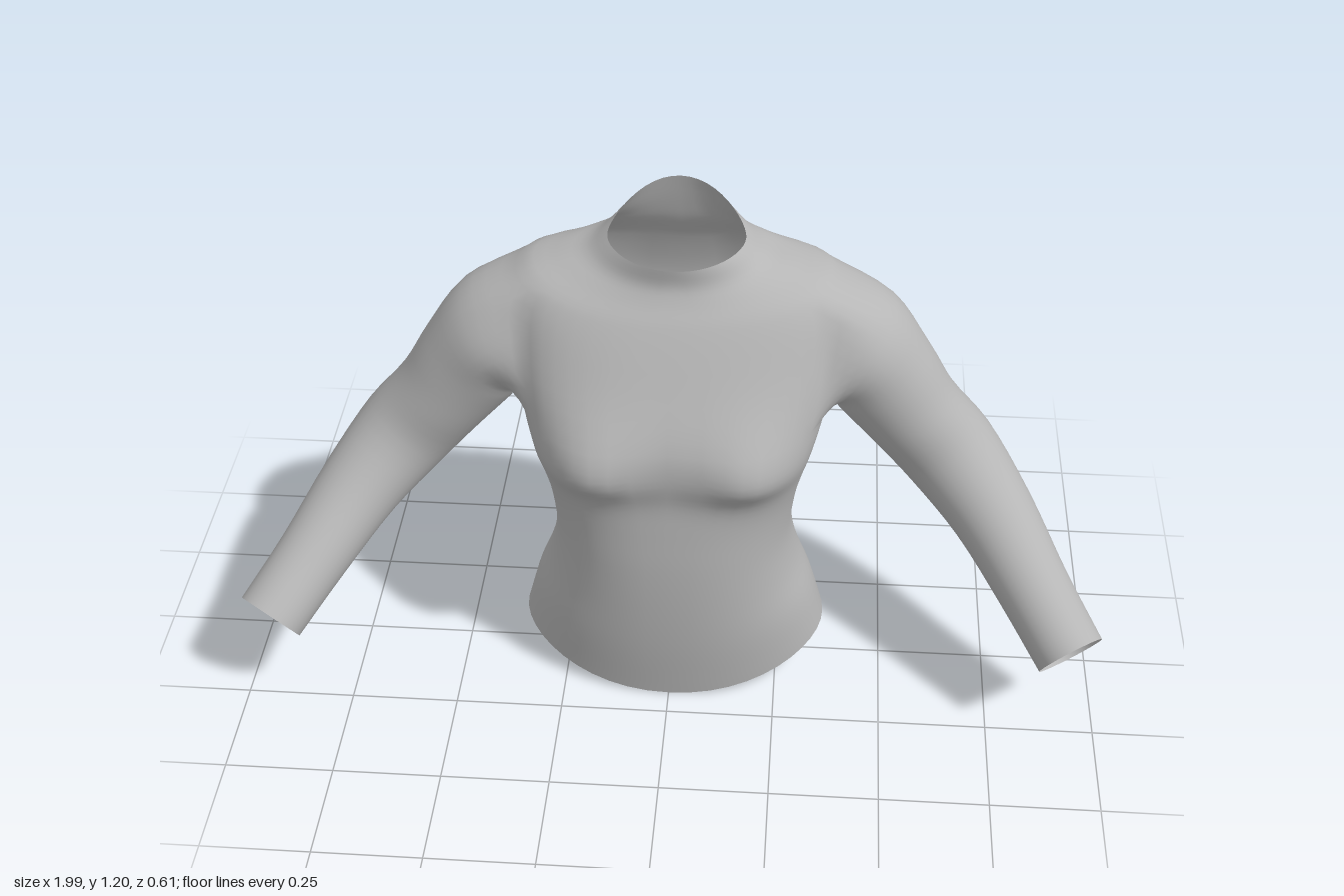
import * as THREE from 'three';
import { mergeVertices } from 'three/addons/utils/BufferGeometryUtils.js';

const COLS = 24; // columns across one half of the body, back centre to front centre
const STEP = 4; // rows between two control rings
const HOLE = { c0: 8, c1: 16, r0: 7 * STEP, r1: 9 * STEP }; // armhole patch

// Body rings: y at side, front, back; half width; z at front, back, middle; squareness
const BODY = [
  [0.088, 0.0, 0.088, 0.36, 0.185, -0.3, -0.04, 2.1],
  [0.2, 0.15, 0.2, 0.33, 0.205, -0.27, -0.03, 2.2],
  [0.3, 0.28, 0.3, 0.293, 0.215, -0.245, -0.02, 2.3],
  [0.4, 0.4, 0.4, 0.275, 0.218, -0.228, -0.01, 2.4],
  [0.5, 0.5, 0.5, 0.283, 0.215, -0.224, -0.01, 2.5],
  [0.58, 0.58, 0.58, 0.3, 0.213, -0.236, -0.01, 2.7],
  [0.66, 0.65, 0.65, 0.322, 0.22, -0.254, -0.02, 2.9],
  [0.735, 0.73, 0.73, 0.345, 0.213, -0.276, -0.05, 2.7],
  [0.88, 0.86, 0.87, 0.37, 0.152, -0.3, -0.075, 2.6],
  [1.025, 0.975, 1.0, 0.36, 0.09, -0.268, -0.095, 2.4],
  [1.06, 1.02, 1.07, 0.27, 0.06, -0.232, -0.095, 2.2],
  [1.08, 1.055, 1.12, 0.2, 0.045, -0.217, -0.09, 2.1],
  [1.115, 1.1, 1.195, 0.152, 0.048, -0.2, -0.08, 2],
];

// Sleeve rings: centre x, y, z; radius upward; radius along z
const SLEEVE = [
  [0.42, 0.835, -0.09, 0.14, 0.145],
  [0.475, 0.76, -0.087, 0.125, 0.125],
  [0.545, 0.665, -0.087, 0.113, 0.115],
  [0.635, 0.56, -0.083, 0.112, 0.113],
  [0.74, 0.447, 0.0, 0.097, 0.1],
  [0.84, 0.33, 0.13, 0.084, 0.087],
  [0.925, 0.235, 0.245, 0.08, 0.082],
];

const bell = (d, w) => Math.exp(-(d * d) / (w * w));

function bodyPoint([yS, yF, yB, hw, zF, zB, zM, n], col) {
  const a = Math.PI * (col / COLS - 0.5);
  const s = Math.sin(a);
  const c = col === 0 || col === COLS ? 0 : Math.cos(a);
  const depth = Math.pow(Math.abs(s), 2 / n);
  const y = yS + ((s > 0 ? yF : yB) - yS) * s * s;
  const z = zM + ((s > 0 ? zF : zB) - zM) * depth;
  return new THREE.Vector3(hw * Math.pow(c, 2 / n), y, z);
}

// Bust on the front, spine groove on the back
function sculpt(p, col) {
  if (col > COLS / 2) {
    p.z += 0.04 * bell(p.x - 0.18, 0.1) * bell(p.y - 0.665, p.y < 0.665 ? 0.065 : 0.11);
  } else {
    p.z += 0.02 * bell(p.x, 0.05) * bell(p.y - 0.68, 0.3);
  }
  return p;
}

// Points across a loft: one smooth curve through each column of control points
function loft(columns, rows) {
  return columns.map((pts, i) => {
    const curve = new THREE.CatmullRomCurve3(pts);
    return Array.from({ length: rows + 1 }, (_, r) => curve.getPoint(r / rows));
  });
}

function createHalf() {
  const tris = [];
  const quad = (a, b, c, d) => tris.push(a, d, c, a, c, b);

  // Body side with the armhole left open
  const rows = (BODY.length - 1) * STEP;
  const cols = Array.from({ length: COLS + 1 }, (_, i) => BODY.map((ring) => bodyPoint(ring, i)));
  const body = loft(cols, rows);
  body.forEach((column, i) => column.forEach((p) => sculpt(p, i)));
  for (let i = 0; i < COLS; i++) {
    for (let r = 0; r < rows; r++) {
      const open = i >= HOLE.c0 && i < HOLE.c1 && r >= HOLE.r0 && r < HOLE.r1;
      if (!open) quad(body[i][r], body[i + 1][r], body[i + 1][r + 1], body[i][r + 1]);
    }
  }

  // Armhole edge, walked once around
  const edge = [];
  for (let i = HOLE.c0; i < HOLE.c1; i++) edge.push(body[i][HOLE.r0]);
  for (let r = HOLE.r0; r < HOLE.r1; r++) edge.push(body[HOLE.c1][r]);
  for (let i = HOLE.c1; i > HOLE.c0; i--) edge.push(body[i][HOLE.r1]);
  for (let r = HOLE.r1; r > HOLE.r0; r--) edge.push(body[HOLE.c0][r]);

  // Sleeve grown from the armhole edge to the cuff
  const centres = SLEEVE.map(([x, y, z]) => new THREE.Vector3(x, y, z));
  const path = new THREE.CatmullRomCurve3([new THREE.Vector3(0.33, 0.84, -0.09), ...centres]);
  const frames = centres.map((_, k) => {
    const t = path.getTangent((k + 1) / SLEEVE.length);
    const side = new THREE.Vector3(0, 0, 1).addScaledVector(t, -t.z).normalize();
    return { side, up: new THREE.Vector3().crossVectors(side, t) };
  });
  const strands = edge.map((start, l) => {
    const a = -0.75 * Math.PI + (l / edge.length) * Math.PI * 2;
    return [start, ...SLEEVE.map(([, , , rUp, rZ], k) => centres[k].clone()
      .addScaledVector(frames[k].side, Math.cos(a) * rZ)
      .addScaledVector(frames[k].up, Math.sin(a) * rUp))];
  });
  const sleeveRows = SLEEVE.length * STEP;
  const sleeve = loft(strands, sleeveRows);
  sleeve.forEach((strand, l) => {
    const next = sleeve[(l + 1) % sleeve.length];
    for (let r = 0; r < sleeveRows; r++) quad(strand[r], next[r], next[r + 1], strand[r + 1]);
  });
  return tris;
}

export function createModel() {
  const fabric = new THREE.MeshStandardMaterial({ color: 0xb6b6b6, side: THREE.DoubleSide });
  fabric.name = 'grey fabric';

  // Mirror the half, then weld so the shading is smooth across all seams
  const half = createHalf();
  const mirrored = half.map((p) => new THREE.Vector3(-p.x, p.y, p.z)).reverse();
  const soup = new THREE.BufferGeometry().setFromPoints([...half, ...mirrored]);
  const geometry = mergeVertices(soup, 1e-4);
  geometry.computeVertexNormals();

  const garment = new THREE.Mesh(geometry, fabric);
  garment.name = 'longSleeveTop';
  const group = new THREE.Group();
  group.name = 'garment';
  group.add(garment);
  return group;
}
